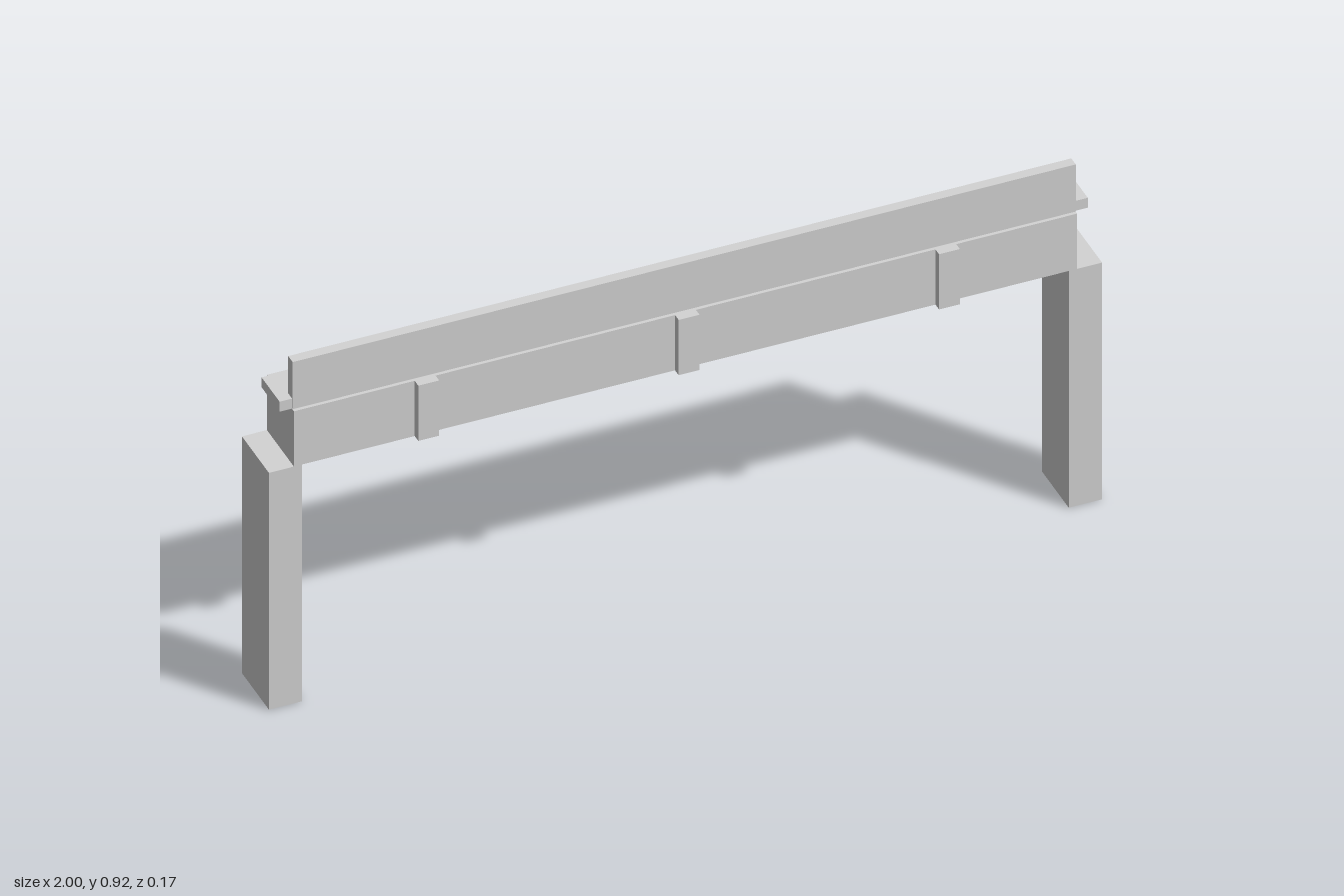
import * as THREE from 'three';

export function createModel() {
  const group = new THREE.Group();
  const grey = new THREE.MeshStandardMaterial({ color: 0xd4d4d4 });
  grey.name = 'light grey';

  // Box given by its lower and upper limits on each axis
  const block = (name, [x0, x1], [y0, y1], [z0, z1]) => {
    const mesh = new THREE.Mesh(new THREE.BoxGeometry(x1 - x0, y1 - y0, z1 - z0), grey);
    mesh.position.set((x0 + x1) / 2, (y0 + y1) / 2, (z0 + z1) / 2);
    mesh.name = name;
    group.add(mesh);
  };

  const depth = [-0.085, 0.065];

  // Posts at both ends
  block('leftPost', [0.92, 1], [0, 0.643], depth);
  block('rightPost', [-1, -0.92], [0, 0.643], depth);

  // Main beam resting on the inner part of the posts
  block('beam', [-0.94, 0.94], [0.643, 0.793], depth);

  // Three brackets on the front of the beam
  for (const x of [-0.625, 0, 0.625]) {
    block('bracket', [x - 0.025, x + 0.025], [0.643, 0.793], [0.065, 0.085]);
  }

  // Shelf slab over the beam, with the upright board along its front edge
  block('shelf', [-0.97, 0.97], [0.794, 0.821], [-0.045, 0.055]);
  block('backboard', [-0.94, 0.94], [0.794, 0.922], [0.033, 0.058]);

  return group;
}
